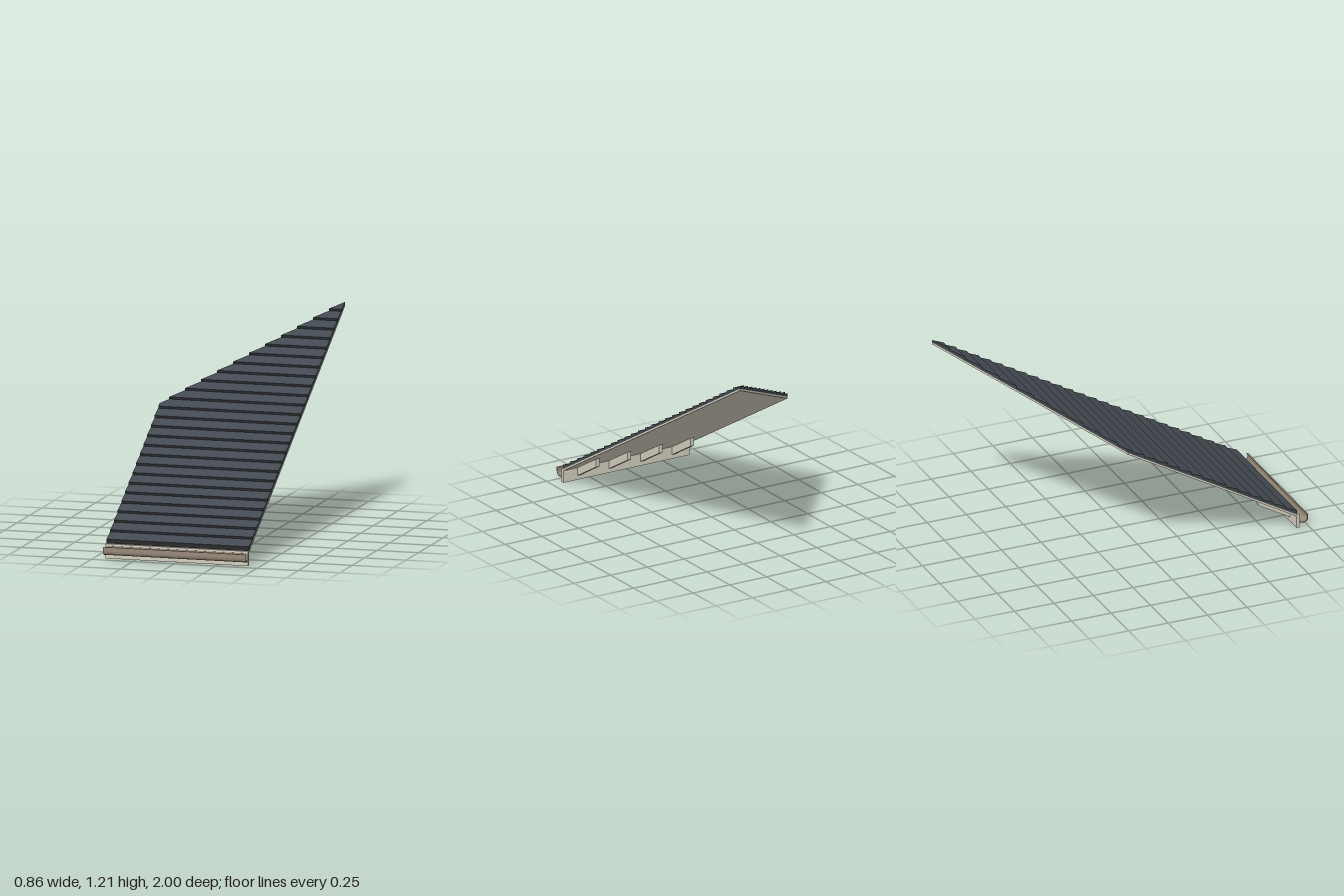
import * as THREE from 'three';

const HALF = 0.43, EAVE = 0.93, RIDGE = -1, ROWS = 26;
const SLOPE = Math.tan(Math.PI / 6);
const PITCH = (EAVE - RIDGE) / ROWS;
const RISE = PITCH * SLOPE;

const mat = (name, color, side = THREE.FrontSide) => {
  const m = new THREE.MeshStandardMaterial({ color, side });
  m.name = name;
  return m;
};

// Left boundary of the roof in plan: straight, then a 45 degree hip cut
const HIP = RIDGE + 2 * HALF;
const leftX = (z) => (z >= HIP ? -HALF : Math.min(HALF, -HALF + (HIP - z)));

// Plan outline between two depths, counter-clockwise from above
function planOutline(z0, z1) {
  const pts = [[leftX(z0), z0], [HALF, z0], [HALF, z1]];
  if (leftX(z1) < HALF - 1e-6) pts.push([leftX(z1), z1]);
  if (z0 > HIP && z1 < HIP) pts.push([-HALF, HIP]);
  return pts;
}

// Prism over a plan outline with sloping top and bottom; group 1 is the front edge
function prism(plan, topY, bottomY) {
  const pos = [];
  const top = plan.map(([x, z]) => [x, topY(z), z]);
  const bot = plan.map(([x, z]) => [x, bottomY(z), z]);
  const tri = (a, b, c) => pos.push(...a, ...b, ...c);
  const quad = (i, j) => {
    tri(bot[i], bot[j], top[j]);
    tri(bot[i], top[j], top[i]);
  };
  const n = plan.length;
  for (let i = 1; i < n - 1; i++) {
    tri(top[0], top[i], top[i + 1]);
    tri(bot[0], bot[i + 1], bot[i]);
  }
  for (let i = 1; i < n; i++) quad(i, (i + 1) % n);
  const split = pos.length / 3;
  quad(0, 1);
  const g = new THREE.BufferGeometry();
  g.setAttribute('position', new THREE.Float32BufferAttribute(pos, 3));
  g.computeVertexNormals();
  g.addGroup(0, split, 0);
  g.addGroup(split, 6, 1);
  return g;
}

// Extrude a (z, y) profile along x, centred on the given x
function extrudeX(points, width, x = 0) {
  const shape = new THREE.Shape(points.map(([z, y]) => new THREE.Vector2(z, y)));
  const g = new THREE.ExtrudeGeometry(shape, { depth: width, bevelEnabled: false });
  g.translate(0, 0, -width / 2);
  g.rotateY(-Math.PI / 2);
  g.translate(x, 0, 0);
  return g;
}

export function createModel() {
  const slate = mat('slate', 0x434950);
  const shadowEdge = mat('slate butt edge', 0x262728);
  const cream = mat('cream trim', 0xd4cebe);
  const brown = mat('gutter brown', 0x968978, THREE.DoubleSide);

  const model = new THREE.Group();
  model.name = 'roofSection';
  const add = (name, geometry, material, parent = model) => {
    const mesh = new THREE.Mesh(geometry, material);
    mesh.name = name;
    parent.add(mesh);
    return mesh;
  };
  const line = (y) => (z) => y + (EAVE - z) * SLOPE;

  // Deck under the slates
  add('deck', prism(planOutline(EAVE, RIDGE), line(0.085), line(0.073)), [cream, cream]);

  // Overlapping slate courses, each tilted flatter than the roof
  const courses = new THREE.Group();
  courses.name = 'slateCourses';
  model.add(courses);
  for (let i = 0; i < ROWS; i++) {
    const z0 = EAVE - i * PITCH;
    const topY = (z) => 0.111 + i * RISE + ((z0 - z) / PITCH) * 0.03;
    add('slateCourse', prism(planOutline(z0, z0 - PITCH), topY, line(0.085)), [slate, shadowEdge], courses);
  }

  // Fascia board
  add('fascia', extrudeX([[0.927, 0], [0.946, 0], [0.946, 0.086], [0.927, 0.086]], 2 * HALF), cream);

  // Rafter tails
  for (let i = 0; i < 4; i++) {
    const x = (i - 1.5) * 0.215;
    const tail = [[0.93, 0.024], [0.93, 0.078], [0.725, 0.196], [0.725, 0.142]];
    add('rafterTail', extrudeX(tail, 0.025, x), cream);
  }

  // Open gutter with a rolled front lip
  const outer = [[0.946, 0.027], [0.978, 0.027], [0.99, 0.031], [0.997, 0.039], [1, 0.05], [1, 0.076], [0.991, 0.076]];
  const inner = [[0.991, 0.072], [0.996, 0.072], [0.996, 0.051], [0.993, 0.042], [0.987, 0.035], [0.977, 0.031], [0.946, 0.031]];
  add('gutter', extrudeX([...outer, ...inner], 2 * HALF), brown);
  add('gutterBack', extrudeX([[0.946, 0.027], [0.949, 0.027], [0.949, 0.074], [0.946, 0.074]], 2 * HALF), brown);

  return model;
}
